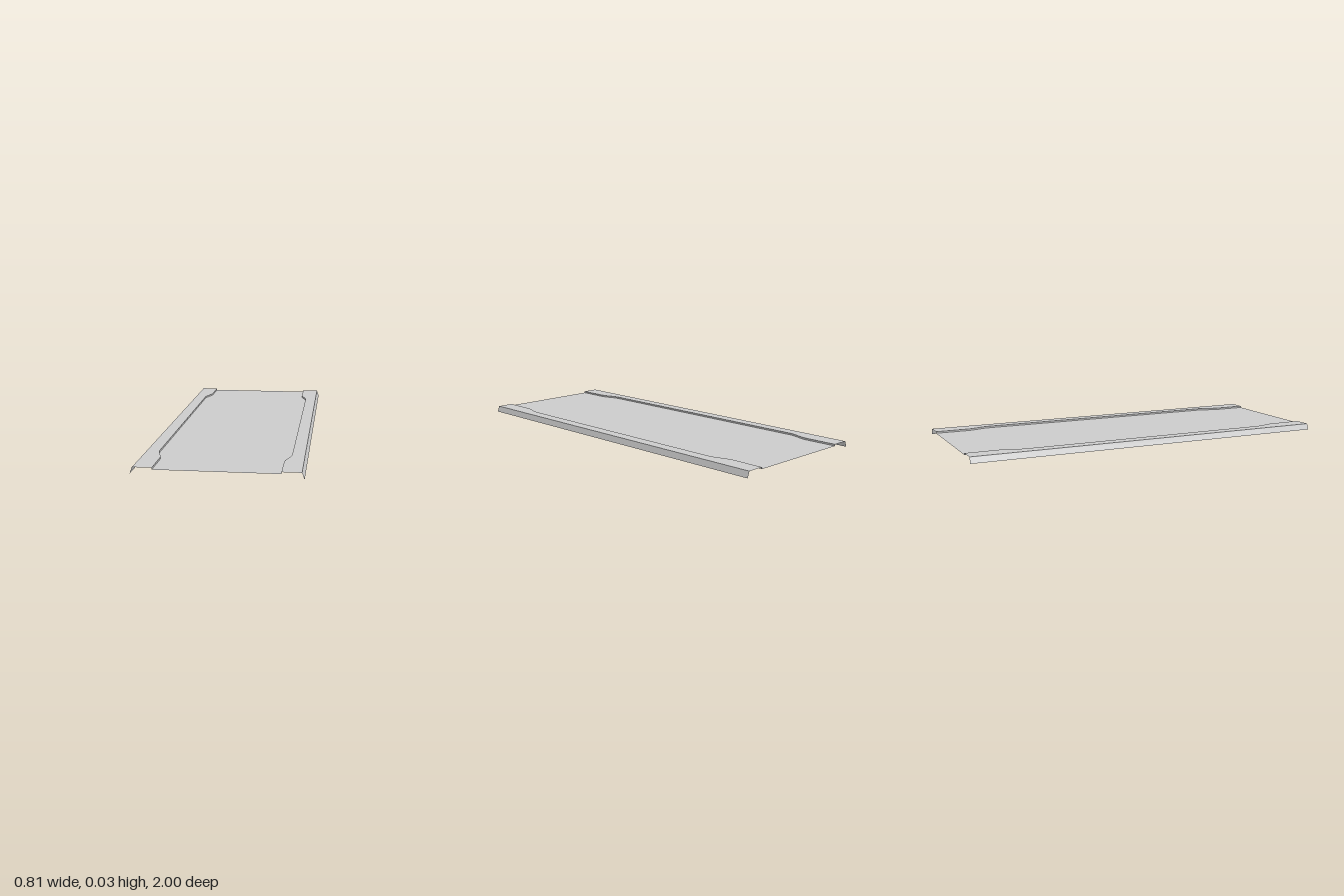
import * as THREE from 'three';

const material = new THREE.MeshStandardMaterial({ color: 0xcccccc, flatShading: true, side: THREE.DoubleSide });

const TOP = 0.032, PANEL = 0.023;   // heights of the raised borders and the sunken panel
const OUTER = 0.403, FOLD = 0.391;  // bottom and top of the folded-down lip

// Half width of the sunken panel: narrow at both ends, easing out to wide in the middle
const panelHalf = (z) => 0.298 + 0.03 * (1 - THREE.MathUtils.smoothstep(Math.abs(z), 0.69, 0.825));

// Stations along the length, dense only where the edge curves
const stations = [-1];
for (let i = 0; i <= 10; i++) stations.push(-0.825 + 0.0135 * i);
for (let i = 10; i >= 0; i--) stations.push(0.825 - 0.0135 * i);
stations.push(1);

// Strip joining two edges, each a function z -> [x, y]; a to b runs towards +x for an upward face
function strip(name, a, b) {
  const pos = [], index = [];
  stations.forEach((z, i) => {
    pos.push(...a(z), z, ...b(z), z);
    if (i) {
      const k = 2 * i;
      index.push(k - 2, k, k - 1, k - 1, k, k + 1);
    }
  });
  const geo = new THREE.BufferGeometry();
  geo.setAttribute('position', new THREE.Float32BufferAttribute(pos, 3));
  geo.setIndex(index);
  geo.computeVertexNormals();
  const mesh = new THREE.Mesh(geo, material);
  mesh.name = name;
  return mesh;
}

export function createModel() {
  const group = new THREE.Group();
  group.name = 'traySheet';

  // Sunken middle panel
  group.add(strip('panel', (z) => [-panelHalf(z), PANEL], (z) => [panelHalf(z), PANEL]));

  // Step, raised border and folded lip on each side
  for (const [side, s] of [['left', 1], ['right', -1]]) {
    const edges = [
      (z) => [s * panelHalf(z), PANEL],
      (z) => [s * panelHalf(z), TOP],
      () => [s * FOLD, TOP],
      () => [s * OUTER, 0],
    ];
    ['Step', 'Border', 'Lip'].forEach((part, i) => {
      const [a, b] = s > 0 ? [edges[i], edges[i + 1]] : [edges[i + 1], edges[i]];
      group.add(strip(side + part, a, b));
    });
  }
  return group;
}
